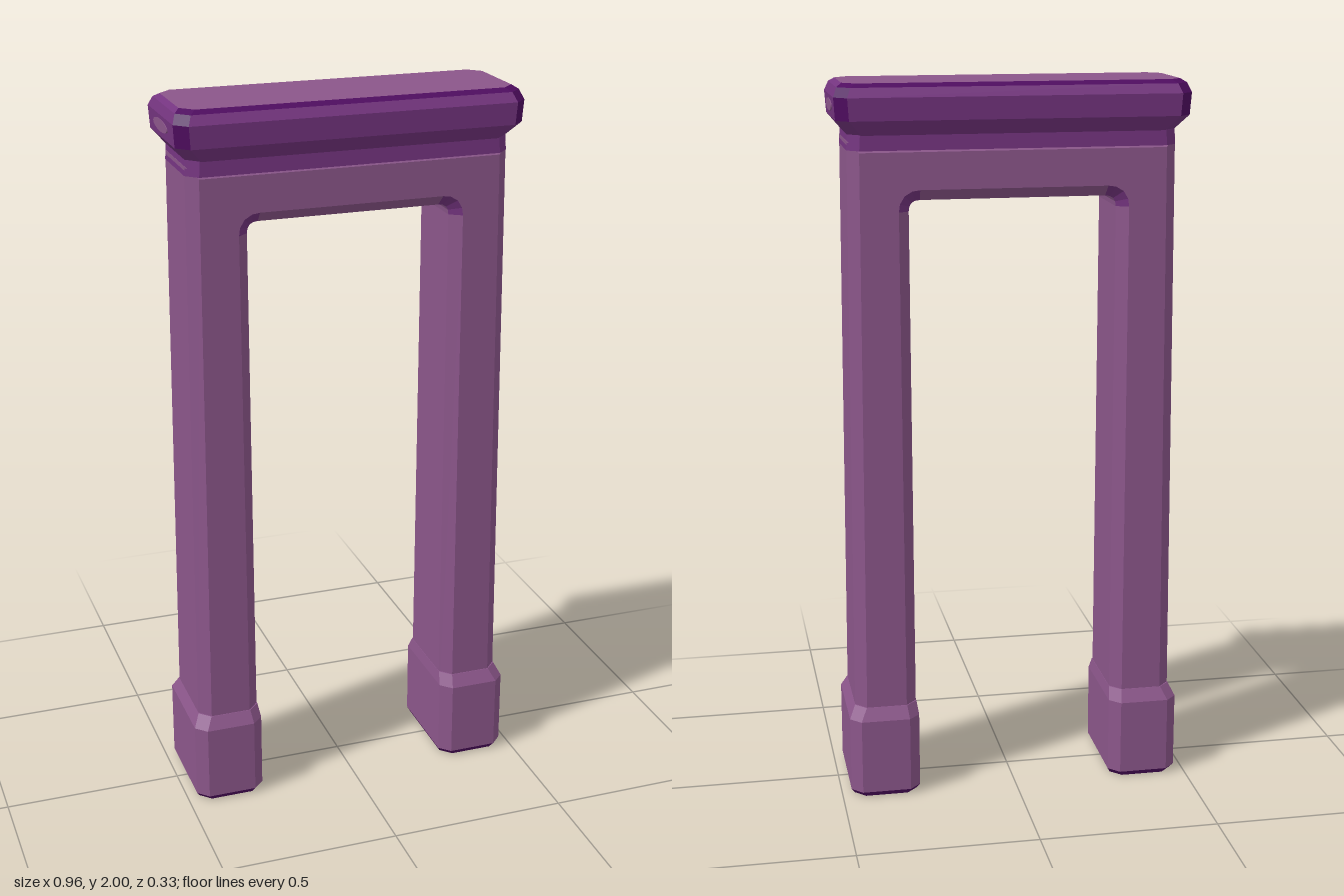
import * as THREE from 'three';

const material = (name, color) => {
  const m = new THREE.MeshStandardMaterial({ color });
  m.name = name;
  return m;
};

// Builds a flat-shaded mesh from triangles sorted into one list per material.
function meshFromLists(name, lists, materials) {
  const geometry = new THREE.BufferGeometry();
  let start = 0;
  lists.forEach((list, i) => {
    if (list.length) geometry.addGroup(start, list.length, i);
    start += list.length;
  });
  geometry.setFromPoints(lists.flat());
  geometry.computeVertexNormals();
  const mesh = new THREE.Mesh(geometry, materials);
  mesh.name = name;
  return mesh;
}

// Rectangle with cut corners, lying flat at height y.
function ring([y, x0, x1, h], c) {
  return [
    [x1, c - h], [x1, h - c], [x1 - c, h], [x0 + c, h],
    [x0, h - c], [x0, c - h], [x0 + c, -h], [x1 - c, -h],
  ].map(([x, z]) => new THREE.Vector3(x, y, z));
}

// Stacks cut-corner sections [y, x0, x1, half depth] into a closed block.
// pick(band, side) chooses the material; odd sides are the corner cuts.
function block(name, sections, cut, materials, pick) {
  const lists = materials.map(() => []);
  const rings = sections.map((s) => ring(s, cut));
  const last = rings.length - 1;
  for (let k = 0; k < 8; k++) {
    const n = (k + 1) % 8;
    for (let i = 0; i < last; i++) {
      const a = rings[i][k], b = rings[i][n], c = rings[i + 1][k], d = rings[i + 1][n];
      lists[pick(i, k)].push(a, c, b, b, c, d);
    }
    if (k > 0 && k < 7) {
      lists[pick('bottom', 0)].push(rings[0][0], rings[0][k], rings[0][n]);
      lists[pick('top', 0)].push(rings[last][0], rings[last][n], rings[last][k]);
    }
  }
  return meshFromLists(name, lists, materials);
}

// Two posts and a lintel in one bevelled arch, widening slightly to the floor.
function buildFrame(materials) {
  const outer = 0.445, inner = 0.283, top = 1.85, under = 1.69, foot = 0.05, r = 0.03;
  const bevel = 0.03, depth = 0.194;
  const shape = new THREE.Shape();
  shape.moveTo(-outer, foot);
  shape.lineTo(-inner, foot);
  shape.lineTo(-inner, under - r);
  shape.quadraticCurveTo(-inner, under, -inner + r, under);
  shape.lineTo(inner - r, under);
  shape.quadraticCurveTo(inner, under, inner, under - r);
  shape.lineTo(inner, foot);
  shape.lineTo(outer, foot);
  shape.lineTo(outer, top);
  shape.lineTo(-outer, top);
  shape.closePath();
  const solid = new THREE.ExtrudeGeometry(shape, {
    depth, curveSegments: 4, bevelEnabled: true, bevelSegments: 1,
    bevelThickness: bevel, bevelSize: bevel, bevelOffset: -bevel,
  });
  solid.translate(0, 0, -depth / 2);
  const p = solid.attributes.position;
  const points = [];
  for (let i = 0; i < p.count; i++) {
    const v = new THREE.Vector3().fromBufferAttribute(p, i);
    const t = (top - v.y) / top;
    if (Math.abs(v.x) > 0.37) v.x *= 1 + 0.03 * t;
    v.z *= 1 + 0.1 * t;
    points.push(v);
  }
  // The bevels in the upper corners of the opening are purple.
  const lists = [[], []];
  const tri = new THREE.Triangle(), mid = new THREE.Vector3(), normal = new THREE.Vector3();
  for (let i = 0; i < points.length; i += 3) {
    tri.set(points[i], points[i + 1], points[i + 2]);
    tri.getMidpoint(mid);
    tri.getNormal(normal);
    const slanted = Math.abs(normal.z) > 0.3 && Math.abs(normal.z) < 0.9;
    const corner = mid.y > 1.64 && Math.abs(mid.x) > 0.24 && Math.abs(mid.x) < 0.31;
    lists[slanted && corner ? 1 : 0].push(points[i], points[i + 1], points[i + 2]);
  }
  return meshFromLists('archFrame', lists, materials);
}

export function createModel() {
  const mauve = material('mauve', 0x8b568a);
  const purple = material('purple', 0x74347f);
  const dark = material('darkPurple', 0x4f0c60);
  const colours = [mauve, purple, dark];
  const model = new THREE.Group();
  model.name = 'archway';

  model.add(buildFrame([mauve, purple]));

  // Plinth blocks under both posts
  for (const side of [1, -1]) {
    const sections = [
      [0, 0.285, 0.465, 0.15],
      [0.015, 0.277, 0.474, 0.16],
      [0.23, 0.277, 0.474, 0.16],
      [0.265, 0.282, 0.457, 0.14],
    ].map(([y, a, b, h]) => (side > 0 ? [y, a, b, h] : [y, -b, -a, h]));
    model.add(block(side > 0 ? 'leftPlinth' : 'rightPlinth', sections, 0.03, colours,
      (band) => (band === 0 ? 2 : 0)));
  }

  // Neck between lintel and cap
  model.add(block('neck', [
    [1.825, -0.446, 0.446, 0.129],
    [1.885, -0.442, 0.442, 0.127],
  ], 0.031, colours, () => 1));

  // Overhanging cap: dark corners and rim, mauve top
  const cap = [[1.865, 0.442, 0.128], [1.905, 0.476, 0.16], [1.965, 0.48, 0.163],
    [1.99, 0.47, 0.147], [2, 0.455, 0.13]];
  model.add(block('cap', cap.map(([y, x, z]) => [y, -x, x, z]), 0.033, colours, (band, k) => {
    if (band === 'top') return 0;
    if (band === 'bottom' || band === 0) return 1;
    if (k % 2) return 2;
    return band === 3 && (k === 2 || k === 6) ? 2 : 1;
  }));

  // Pale oval worn patches on the cap ends
  for (const side of [1, -1]) {
    const oval = new THREE.Mesh(new THREE.CylinderGeometry(1, 1, 1, 16), mauve);
    oval.name = side > 0 ? 'leftEndPatch' : 'rightEndPatch';
    oval.rotation.z = Math.PI / 2;
    oval.scale.set(0.016, 0.006, 0.07);
    oval.position.set(side * 0.478, 1.938, 0);
    model.add(oval);
  }
  return model;
}
